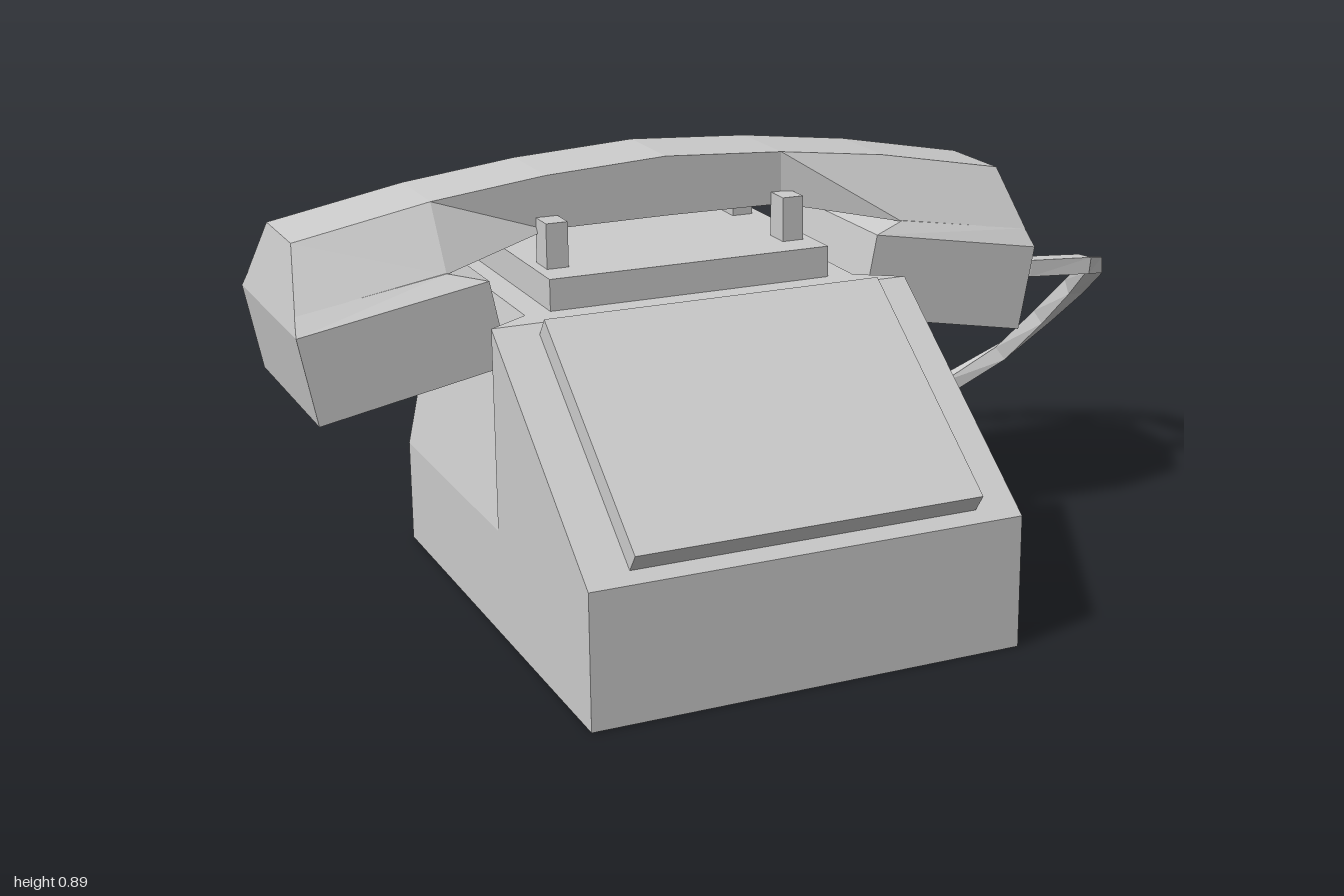
import * as THREE from 'three';

const CX = -0.19; // centre line of the phone body and handset
const HZ = -0.148; // centre line of the handset in depth

const material = new THREE.MeshStandardMaterial({ color: 0xcccccc, flatShading: true });

function addMesh(parent, name, geometry) {
  const mesh = new THREE.Mesh(geometry, material);
  mesh.name = name;
  parent.add(mesh);
  return mesh;
}

// Closed solid through rings of [x, y, z] points, counter-clockwise seen from the last ring
function loft(rings) {
  const n = rings[0].length;
  const pos = [];
  const tri = (...pts) => pts.forEach((p) => pos.push(...p));
  for (let i = 0; i < rings.length - 1; i++) {
    for (let j = 0; j < n; j++) {
      const k = (j + 1) % n;
      const [a, b, c, d] = [rings[i][j], rings[i][k], rings[i + 1][k], rings[i + 1][j]];
      // mirrored diagonals keep both halves symmetric
      if (j < n / 2) { tri(a, b, d); tri(b, c, d); } else { tri(a, b, c); tri(a, c, d); }
    }
  }
  const first = rings[0], last = rings[rings.length - 1];
  for (let j = 1; j < n - 1; j++) {
    tri(first[0], first[j + 1], first[j]);
    tri(last[0], last[j], last[j + 1]);
  }
  const g = new THREE.BufferGeometry();
  g.setAttribute('position', new THREE.Float32BufferAttribute(pos, 3));
  g.computeVertexNormals();
  return g;
}

function addBox(parent, name, x0, x1, y0, y1, z0, z1) {
  const mesh = addMesh(parent, name, new THREE.BoxGeometry(x1 - x0, y1 - y0, z1 - z0));
  mesh.position.set((x0 + x1) / 2, (y0 + y1) / 2, (z0 + z1) / 2);
  return mesh;
}

export function createModel() {
  const model = new THREE.Group();
  model.name = 'telephone';

  // Body: sloped front, shoulders cut back behind it: [z, half width at top, top height]
  const bodyRing = ([z, ht, top]) => [
    [0.45, 0], [0.45, 0.22], [ht, top], [-ht, top], [-0.45, 0.22], [-0.45, 0],
  ].map(([x, y]) => [CX + x, y, z]);
  addMesh(model, 'body', loft([
    [-0.445, 0.36, 0.635], [0.08, 0.36, 0.635], [0.14, 0.45, 0.635], [0.63, 0.45, 0.275],
  ].map(bodyRing)));

  // Raised panel lying on the slope
  const slope = Math.atan2(0.36, 0.49);
  const panel = addMesh(model, 'frontPanel', new THREE.BoxGeometry(0.72, 0.046, 0.55));
  panel.rotation.x = slope;
  panel.position.set(CX, 0.456 + 0.023 * Math.cos(slope), 0.384 + 0.023 * Math.sin(slope));

  // Cradle plate with four prongs
  const cradle = new THREE.Group();
  cradle.name = 'cradle';
  model.add(cradle);
  addBox(cradle, 'cradlePlate', CX - 0.305, CX + 0.305, 0.63, 0.7, -0.385, 0.075);
  for (const x of [-0.26, 0.26]) {
    for (const z of [-0.277, -0.028]) {
      addBox(cradle, 'cradleProng', CX + x - 0.023, CX + x + 0.023, 0.695, 0.793, z - 0.03, z + 0.03);
    }
  }

  // Handset handle: [x at top, top, x at bottom, bottom, half depth at bottom]
  const handset = new THREE.Group();
  handset.name = 'handset';
  model.add(handset);
  const half = [
    [0.26, 0.877, 0.26, 0.766, 0.093],
    [0.5, 0.848, 0.5, 0.722, 0.18],
    [0.78, 0.795, 0.803, 0.675, 0.184],
  ];
  const stations = [
    ...half.map(([xt, t, xb, b, h]) => [-xt, t, -xb, b, h]).reverse(),
    [0, 0.892, 0, 0.768, 0.093],
    ...half,
  ];
  addMesh(handset, 'handle', loft(stations.map(([xt, t, xb, b, h]) => [
    [CX + xb, b, HZ - h], [CX + xt, t, HZ - 0.093], [CX + xt, t, HZ + 0.093], [CX + xb, b, HZ + h],
  ])));

  // Tilted cups with a bevelled rim: [outer x, outer y, inner x, inner y, half depth]
  const cup = [
    [0.775, 0.46, 0.39, 0.533, 0.213],
    [0.81, 0.64, 0.425, 0.708, 0.213],
    [0.803, 0.675, 0.5, 0.724, 0.182],
  ];
  for (const [s, name] of [[1, 'leftCup'], [-1, 'rightCup']]) {
    addMesh(handset, name, loft(cup.map(([xo, yo, xi, yi, h]) => {
      const ring = [[xo, yo, h], [xo, yo, -h], [xi, yi, -h], [xi, yi, h]]
        .map(([x, y, z]) => [CX + s * x, y, HZ + z]);
      return s > 0 ? ring : ring.reverse();
    })));
  }

  // Square cord looping from the left cup to the base
  const path = [
    [0.55, 0.56, -0.15], [0.72, 0.54, -0.12], [0.86, 0.533, -0.108], [0.935, 0.505, -0.18],
    [0.98, 0.41, -0.33], [0.965, 0.31, -0.44], [0.91, 0.2, -0.535], [0.79, 0.105, -0.61],
    [0.64, 0.045, -0.59], [0.46, 0.022, -0.49], [0.24, 0.02, -0.315],
  ].map((p) => new THREE.Vector3(...p));
  const up = new THREE.Vector3(0, 1, 0);
  const r = 0.019;
  addMesh(model, 'cord', loft(path.map((p, i) => {
    const t = path[Math.min(i + 1, path.length - 1)].clone().sub(path[Math.max(i - 1, 0)]).normalize();
    const u = up.clone().cross(t).normalize();
    const v = t.clone().cross(u);
    return [[r, r], [-r, r], [-r, -r], [r, -r]]
      .map(([a, b]) => p.clone().addScaledVector(u, a).addScaledVector(v, b).toArray());
  })));

  return model;
}
